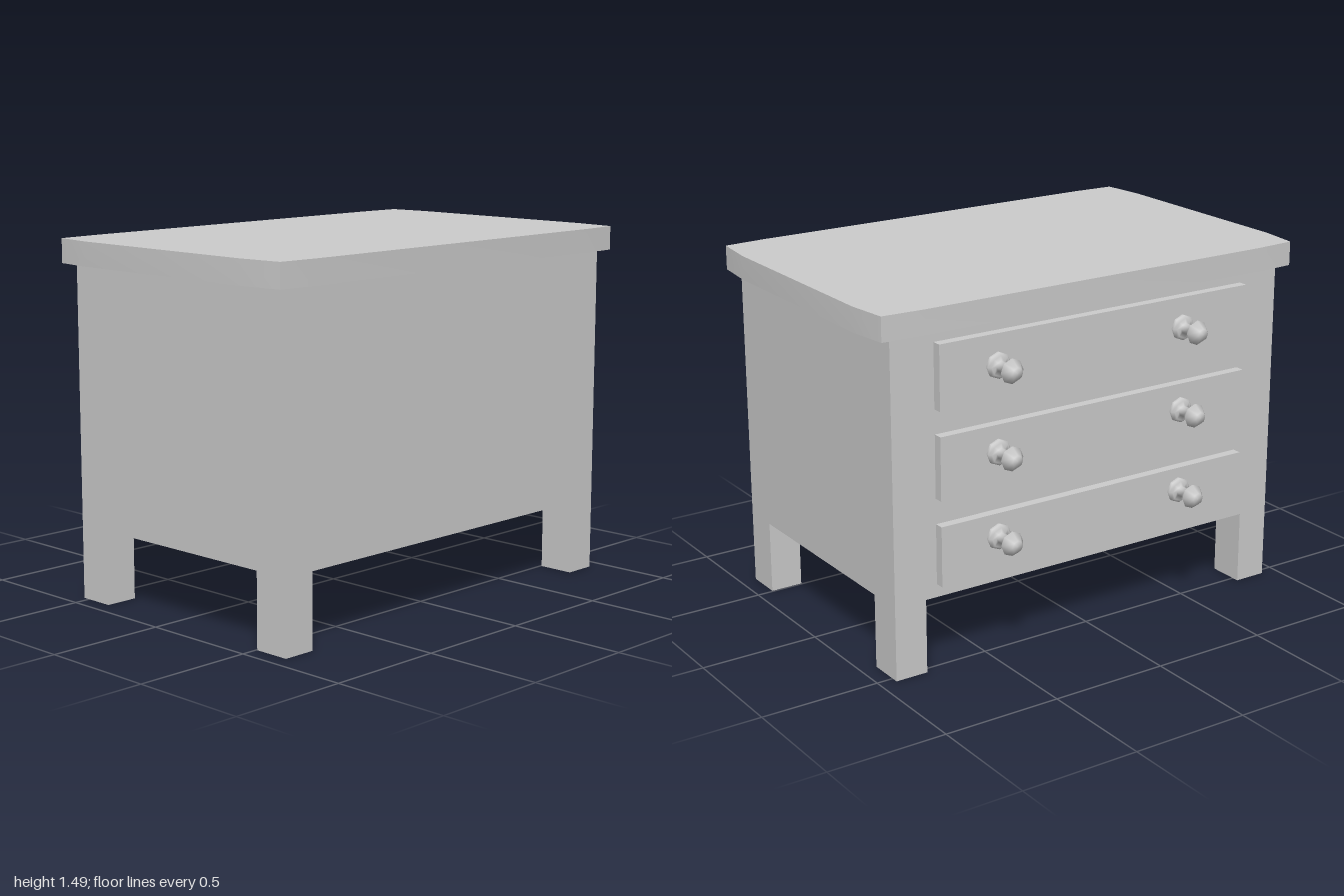
import * as THREE from 'three';
import { toCreasedNormals } from 'three/addons/utils/BufferGeometryUtils.js';

export function createModel() {
  const model = new THREE.Group();
  const material = new THREE.MeshStandardMaterial({ color: 0xcccccc });

  const add = (name, geometry, parent = model) => {
    const mesh = new THREE.Mesh(geometry, material);
    mesh.name = name;
    parent.add(mesh);
    return mesh;
  };

  // Box given by its lower and upper limits on each axis
  const box = (name, [x0, x1], [y0, y1], [z0, z1], parent) =>
    add(name, new THREE.BoxGeometry(x1 - x0, y1 - y0, z1 - z0), parent)
      .position.set((x0 + x1) / 2, (y0 + y1) / 2, (z0 + z1) / 2);

  // Cabinet body and four square legs flush with its corners
  box('body', [-0.53, 0.66], [0.31, 1.39], [-0.93, 0.93]);
  for (const x of [[-0.53, -0.375], [0.505, 0.66]]) {
    for (const z of [[-0.93, -0.79], [0.79, 0.93]]) box('leg', x, [0, 0.31], z);
  }

  // Overhanging top with slightly bowed edges
  const outline = [
    [-0.57, -0.8], [-0.56, -0.98], [-0.39, -1], [0.5, -1], [0.69, -0.98], [0.7, -0.8],
    [0.7, 0.8], [0.69, 0.98], [0.5, 1], [-0.39, 1], [-0.56, 0.98], [-0.57, 0.8],
  ].map(([x, y]) => new THREE.Vector2(x, y));
  const top = new THREE.ExtrudeGeometry(new THREE.Shape(outline), { depth: 0.1, bevelEnabled: false });
  top.rotateX(-Math.PI / 2);
  add('top', toCreasedNormals(top, 0.5)).position.y = 1.39;

  // Turned knob: rosette, stem and rounded end, pointing to -x
  const profile = [
    [0.053, 0], [0.053, 0.012], [0.042, 0.022], [0.022, 0.024], [0.022, 0.06],
    [0.051, 0.097], [0.024, 0.135], [0, 0.136],
  ].map(([r, h]) => new THREE.Vector2(r, h));
  const knob = new THREE.LatheGeometry(profile, 8);
  knob.rotateZ(Math.PI / 2);

  // Three drawers, each with two knobs
  for (const [y0, y1, knobY] of [[0.365, 0.615, 0.52], [0.72, 0.98, 0.87], [1.08, 1.345, 1.22]]) {
    const drawer = new THREE.Group();
    drawer.name = 'drawer';
    model.add(drawer);
    box('drawerFront', [-0.57, -0.53], [y0, y1], [-0.74, 0.74], drawer);
    for (const z of [-0.48, 0.41]) add('knob', knob, drawer).position.set(-0.57, knobY, z);
  }

  return model;
}
